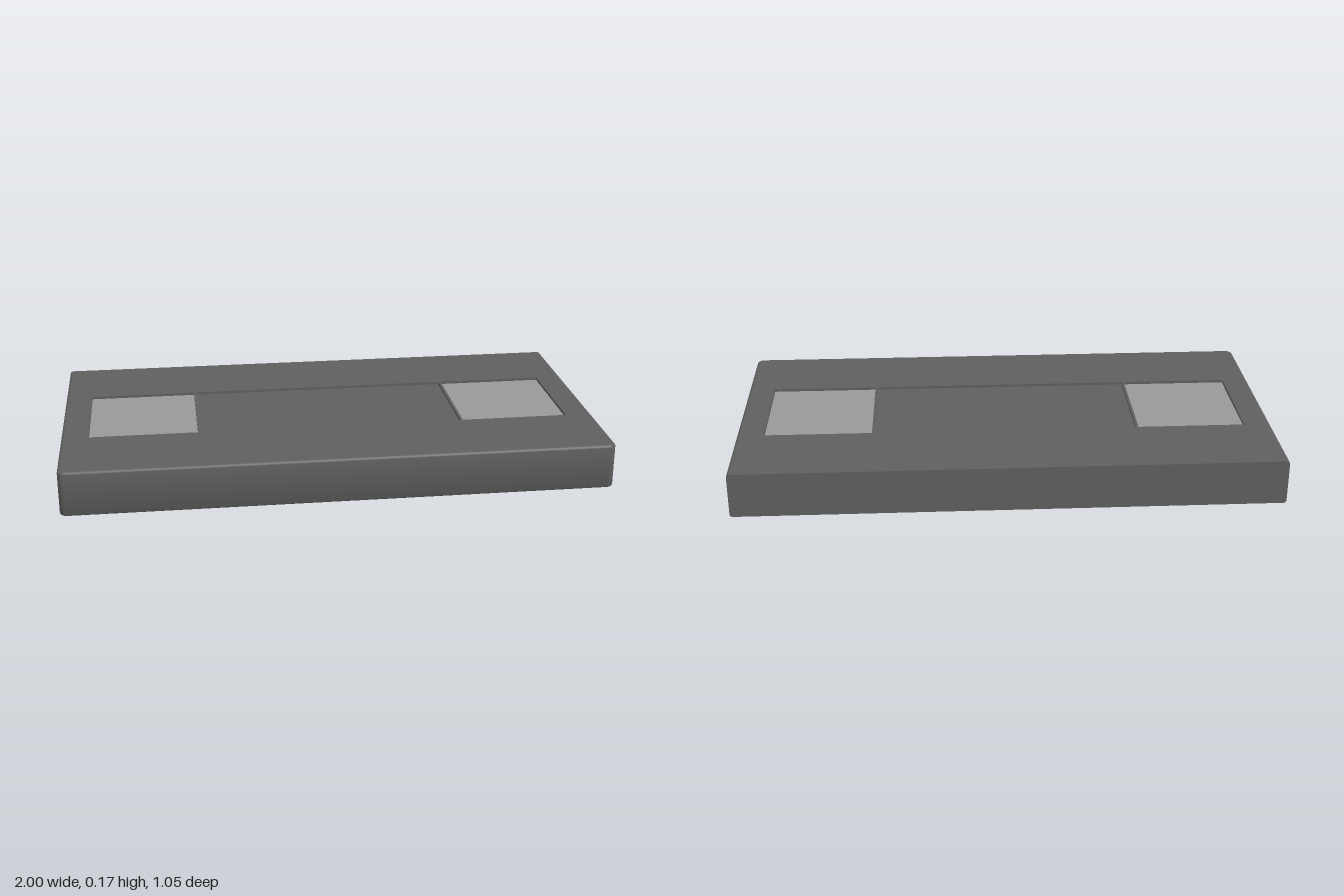
import * as THREE from 'three';
import { toCreasedNormals } from 'three/addons/utils/BufferGeometryUtils.js';

const HALF_X = 1, HALF_Z = 0.523, HEIGHT = 0.168;
const CORNER = 0.025, FILLET = 0.01, DEPTH = 0.01;

// Plan outline (x, -z), counter-clockwise from above: square back, rounded front corners.
function slabOutline(inset) {
  const pts = [];
  const r = CORNER - inset, cx = HALF_X - CORNER, cy = -HALF_Z + CORNER, steps = 6;
  for (const [x, start] of [[-cx, Math.PI], [cx, 1.5 * Math.PI]]) {
    for (let i = 0; i <= steps; i++) {
      const a = start + (i / steps) * Math.PI / 2;
      pts.push(new THREE.Vector2(x + r * Math.cos(a), cy + r * Math.sin(a)));
    }
  }
  pts.push(new THREE.Vector2(HALF_X - inset, HALF_Z), new THREE.Vector2(-HALF_X + inset, HALF_Z));
  return pts;
}

function rectangle(x0, x1, z) {
  return [[x0, -z], [x1, -z], [x1, z], [x0, z]].map(p => new THREE.Vector2(...p));
}

// Wall through stacked outlines; faces outward going up, inward going down.
function loft(levels) {
  const pos = [], index = [], n = levels[0].pts.length;
  for (const { pts, y } of levels) for (const p of pts) pos.push(p.x, y, -p.y);
  for (let l = 0; l < levels.length - 1; l++) {
    for (let i = 0; i < n; i++) {
      const a = l * n + i, b = l * n + (i + 1) % n;
      index.push(a, b, b + n, a, b + n, a + n);
    }
  }
  const geo = new THREE.BufferGeometry();
  geo.setAttribute('position', new THREE.Float32BufferAttribute(pos, 3));
  geo.setIndex(index);
  return toCreasedNormals(geo, 0.6);
}

// Flat horizontal face looking up.
function flat(pts, y, holes = []) {
  const shape = new THREE.Shape(pts);
  shape.holes = holes.map(h => new THREE.Path(h));
  return new THREE.ShapeGeometry(shape).rotateX(-Math.PI / 2).translate(0, y, 0);
}

export function createModel() {
  const model = new THREE.Group();
  const dark = new THREE.MeshStandardMaterial({ color: 0x606060 });
  const light = new THREE.MeshStandardMaterial({ color: 0x999999 });
  const add = (name, geo, mat, parent = model) => {
    const mesh = new THREE.Mesh(geo, mat);
    mesh.name = name;
    parent.add(mesh);
  };

  const pockets = [
    { name: 'rightPad', pts: rectangle(-0.9, -0.5, 0.21), mat: light },
    { name: 'centrePanel', pts: rectangle(-0.49, 0.49, 0.21), mat: dark },
    { name: 'leftPad', pts: rectangle(0.5, 0.9, 0.21), mat: light },
  ];

  // Slab sides with small fillets along the bottom and top edges
  const levels = [];
  for (const [centre, start] of [[FILLET, -Math.PI / 2], [HEIGHT - FILLET, 0]]) {
    for (let i = 0; i <= 4; i++) {
      const a = start + (i / 4) * Math.PI / 2;
      levels.push({ pts: slabOutline(FILLET * (1 - Math.cos(a))), y: centre + FILLET * Math.sin(a) });
    }
  }
  add('slabSides', loft(levels), dark);

  // Top face with openings, and the underside
  const cap = slabOutline(FILLET);
  add('slabTop', flat(cap, HEIGHT, pockets.map(p => p.pts)), dark);
  const under = new THREE.ShapeGeometry(new THREE.Shape(cap.map(p => new THREE.Vector2(p.x, -p.y))));
  add('slabUnderside', under.rotateX(Math.PI / 2), dark);

  // Shallow recesses: inward walls and a floor
  for (const { name, pts, mat } of pockets) {
    const pocket = new THREE.Group();
    pocket.name = name;
    add(name + 'Rim', loft([{ pts, y: HEIGHT }, { pts, y: HEIGHT - DEPTH }]), dark, pocket);
    add(name + 'Floor', flat(pts, HEIGHT - DEPTH), mat, pocket);
    model.add(pocket);
  }
  return model;
}
